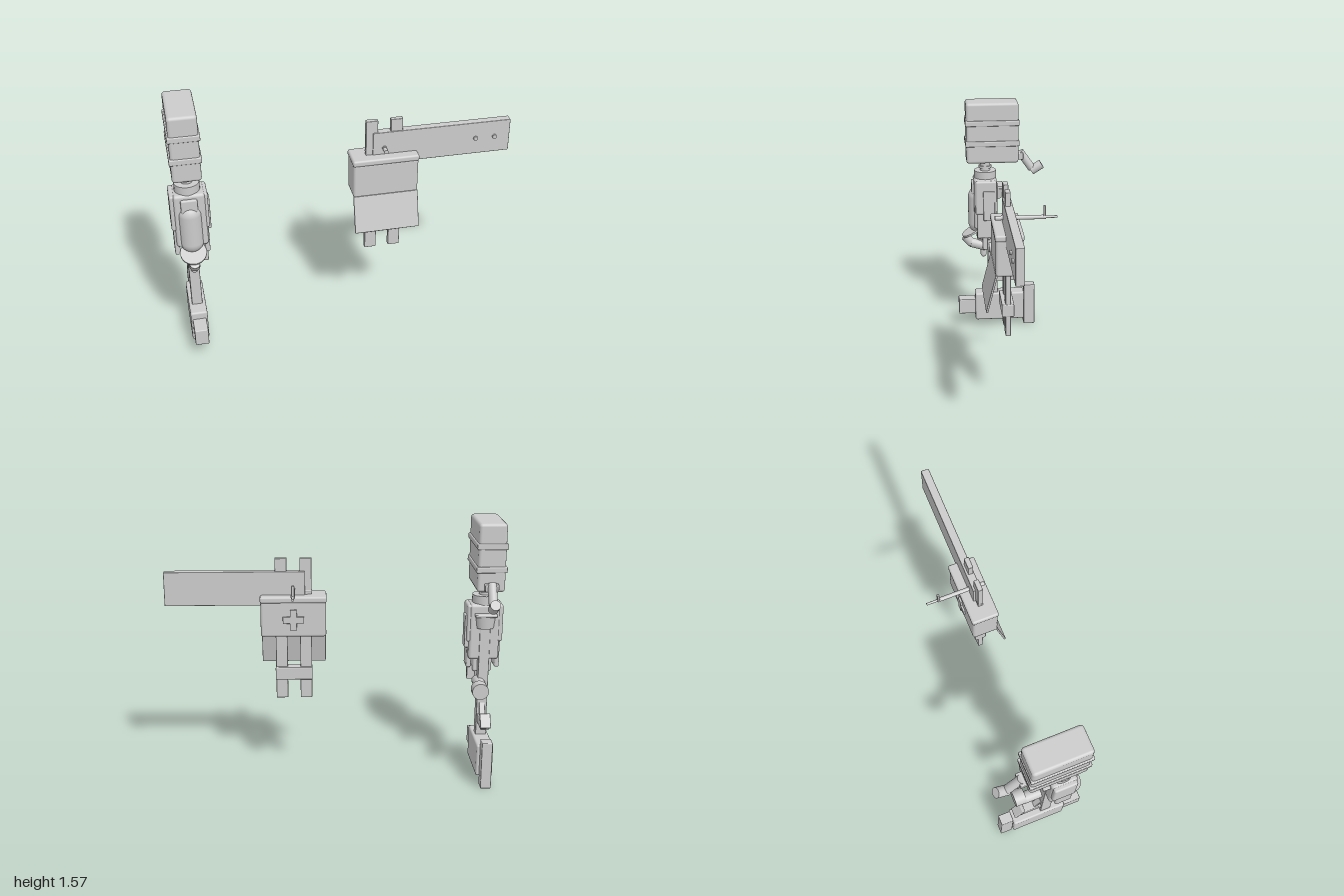
import * as THREE from 'three';
import { RoundedBoxGeometry } from 'three/addons/geometries/RoundedBoxGeometry.js';

const grey = new THREE.MeshStandardMaterial({ color: 0xcccccc });
grey.name = 'plain grey';

function add(parent, name, geometry) {
  const mesh = new THREE.Mesh(geometry, grey);
  mesh.name = name;
  parent.add(mesh);
  return mesh;
}

// Rounded block given by its limits on each axis
function block(parent, name, [x0, x1], [y0, y1], [z0, z1], radius = 0.006) {
  const s = [x1 - x0, y1 - y0, z1 - z0];
  const r = Math.min(radius, Math.min(...s) * 0.45);
  const mesh = add(parent, name, new RoundedBoxGeometry(...s, 2, r));
  mesh.position.set((x0 + x1) / 2, (y0 + y1) / 2, (z0 + z1) / 2);
  return mesh;
}

// Cylinder between two points
function rod(parent, name, from, to, r0, r1 = r0) {
  const a = new THREE.Vector3(...from), b = new THREE.Vector3(...to);
  const dir = b.clone().sub(a);
  const mesh = add(parent, name, new THREE.CylinderGeometry(r1, r0, dir.length(), 24));
  mesh.position.copy(a).add(b).multiplyScalar(0.5);
  mesh.quaternion.setFromUnitVectors(new THREE.Vector3(0, 1, 0), dir.normalize());
  return mesh;
}

function buildFigure() {
  const g = new THREE.Group();
  g.name = 'figure';
  const cx = -0.888;

  // Foot with toe and heel plate
  block(g, 'foot', [-0.938, -0.838], [0.053, 0.25], [-0.157, 0.177], 0.012);
  block(g, 'toe', [-0.928, -0.848], [0.1, 0.205], [0.16, 0.29]);
  block(g, 'heelPlate', [-0.92, -0.857], [0.003, 0.295], [-0.233, -0.157]);

  // Leg post with its rear bracket
  block(g, 'legPost', [-0.92, -0.857], [0.24, 0.95], [0.022, 0.088], 0.004);
  block(g, 'rearBracket', [-0.913, -0.863], [0.33, 0.385], [-0.115, 0.03]);
  const brace = block(g, 'bracketBrace', [-0.905, -0.871], [0.36, 0.46], [-0.005, 0.015], 0.003);
  brace.rotation.x = 0.5;
  const tip = block(g, 'bracketTip', [-0.92, -0.857], [0.345, 0.435], [-0.129, -0.105]);
  tip.rotation.x = 0.6;

  // Horizontal barrel behind the knee
  rod(g, 'barrel', [-0.865, 0.58, 0.08], [-0.865, 0.58, -0.08], 0.036);
  rod(g, 'barrelEnd', [-0.85, 0.582, -0.072], [-0.85, 0.582, -0.138], 0.049);

  // Torso
  block(g, 'torso', [-0.975, -0.795], [0.73, 1.07], [0.025, 0.178], 0.018);
  block(g, 'lowerTorso', [-0.945, -0.83], [0.64, 0.78], [0.07, 0.16], 0.012);
  for (const s of [-1, 1]) {
    const x = cx + s * 0.085;
    block(g, 'shoulderPanel', [x - 0.022, x + 0.022], [0.84, 1.066], [0.03, 0.17], 0.012);
    block(g, 'hipPanel', [x - 0.015, x + 0.015], [0.67, 0.86], [0.06, 0.16], 0.01);
  }
  block(g, 'sidePouch', [-0.8, -0.77], [0.8, 1.0], [0.045, 0.12]);
  block(g, 'chestPlate', [-0.935, -0.841], [0.92, 1.045], [0.165, 0.193], 0.01);
  const bulge = add(g, 'frontBulge', new THREE.CapsuleGeometry(0.07, 0.18, 8, 24));
  bulge.position.set(cx, 0.845, 0.145);

  // Rounded pouch on the back
  const back = add(g, 'backPouch',
    new THREE.CylinderGeometry(0.06, 0.05, 0.075, 24));
  back.position.set(cx, 0.965, 0.03);
  back.scale.z = 0.75;
  block(g, 'backPouchRim', [-0.953, -0.823], [1.0, 1.018], [-0.018, 0.05]);

  // Neck
  rod(g, 'collar', [cx, 1.05, 0.1], [cx, 1.118, 0.1], 0.072);
  rod(g, 'neck', [cx, 1.1, 0.1], [cx, 1.19, 0.1], 0.033);
  rod(g, 'neckRing', [cx, 1.135, 0.1], [cx, 1.15, 0.1], 0.042);

  // Strapped head block
  block(g, 'headBlock', [-0.969, -0.807], [1.18, 1.578], [-0.115, 0.224], 0.018);
  for (const y of [1.312, 1.447])
    block(g, 'strap', [-0.977, -0.799], [y - 0.018, y + 0.018], [-0.121, 0.23], 0.007);

  // Rear arm under the head block
  block(g, 'armMount', [-0.928, -0.848], [1.19, 1.235], [-0.15, -0.1]);
  rod(g, 'rearArm', [cx, 1.235, -0.13], [cx, 1.12, -0.21], 0.026);
  rod(g, 'rearHand', [cx, 1.105, -0.205], [cx, 1.148, -0.275], 0.03);

  // Front knee joint with a tilted cap
  const cap = add(g, 'kneeCap', new THREE.CylinderGeometry(0.075, 0.075, 0.012, 32));
  cap.position.set(cx, 0.695, 0.19);
  cap.rotation.x = 0.5;
  rod(g, 'kneeLink', [cx, 0.58, 0.1], [cx, 0.61, 0.2], 0.032);
  rod(g, 'kneeTip', [cx, 0.605, 0.195], [cx, 0.655, 0.238], 0.03);
  const finger = add(g, 'kneeFinger', new THREE.CapsuleGeometry(0.02, 0.1, 6, 16));
  finger.position.set(cx, 0.575, 0.115);
  block(g, 'hipTab', [-0.85, -0.8], [0.585, 0.67], [0.09, 0.125]);
  return g;
}

function buildCase() {
  const g = new THREE.Group();
  g.name = 'caseAssembly';
  const cx = 0.248;

  // Upright posts, cross bar and wide plank
  for (const x of [0.175, 0.32])
    block(g, 'post', [x - 0.035, x + 0.035], [0.495, 1.353], [0.04, 0.07], 0.004);
  block(g, 'crossBar', [0.138, 0.358], [0.615, 0.692], [0.02, 0.09]);
  block(g, 'plank', [0.18, 1.0], [1.075, 1.277], [0.027, 0.075], 0.004);
  for (const x of [0.247, 0.792, 0.907])
    rod(g, 'bolt', [x, 1.177, 0.07], [x, 1.177, 0.085], 0.013);

  // Box, lid and open front flap
  block(g, 'caseBody', [0.056, 0.44], [0.895, 1.11], [-0.023, 0.13], 0.015);
  block(g, 'caseLid', [0.053, 0.443], [1.1, 1.138], [-0.028, 0.134], 0.012);
  const flap = block(g, 'frontFlap', [0.056, 0.44], [-0.225, 0], [-0.006, 0.006], 0.003);
  const hinge = new THREE.Group();
  hinge.name = 'flapHinge';
  hinge.position.set(0, 0.902, 0.125);
  hinge.rotation.x = -0.25;
  hinge.add(flap);
  g.add(hinge);

  // Raised cross on the back
  block(g, 'crossUpright', [cx - 0.02, cx + 0.02], [0.938, 1.062], [-0.035, -0.015], 0.002);
  block(g, 'crossArm', [cx - 0.062, cx + 0.062], [0.98, 1.02], [-0.035, -0.015], 0.002);

  // Carry handle
  block(g, 'handle', [0.138, 0.358], [1.148, 1.166], [0.038, 0.066], 0.008);
  for (const x of [0.155, 0.34])
    block(g, 'handleFoot', [x - 0.015, x + 0.015], [1.13, 1.155], [0.04, 0.064], 0.004);

  // Thin probe lying across the lid
  rod(g, 'probeBody', [cx, 1.173, 0.12], [cx, 1.173, -0.165], 0.012);
  rod(g, 'probeTip', [cx, 1.173, -0.16], [cx, 1.173, -0.23], 0.007);
  block(g, 'probeFin', [cx - 0.009, cx + 0.009], [1.165, 1.24], [-0.165, -0.152], 0.003);
  return g;
}

export function createModel() {
  const model = new THREE.Group();
  model.name = 'model';
  model.add(buildFigure(), buildCase());
  return model;
}
